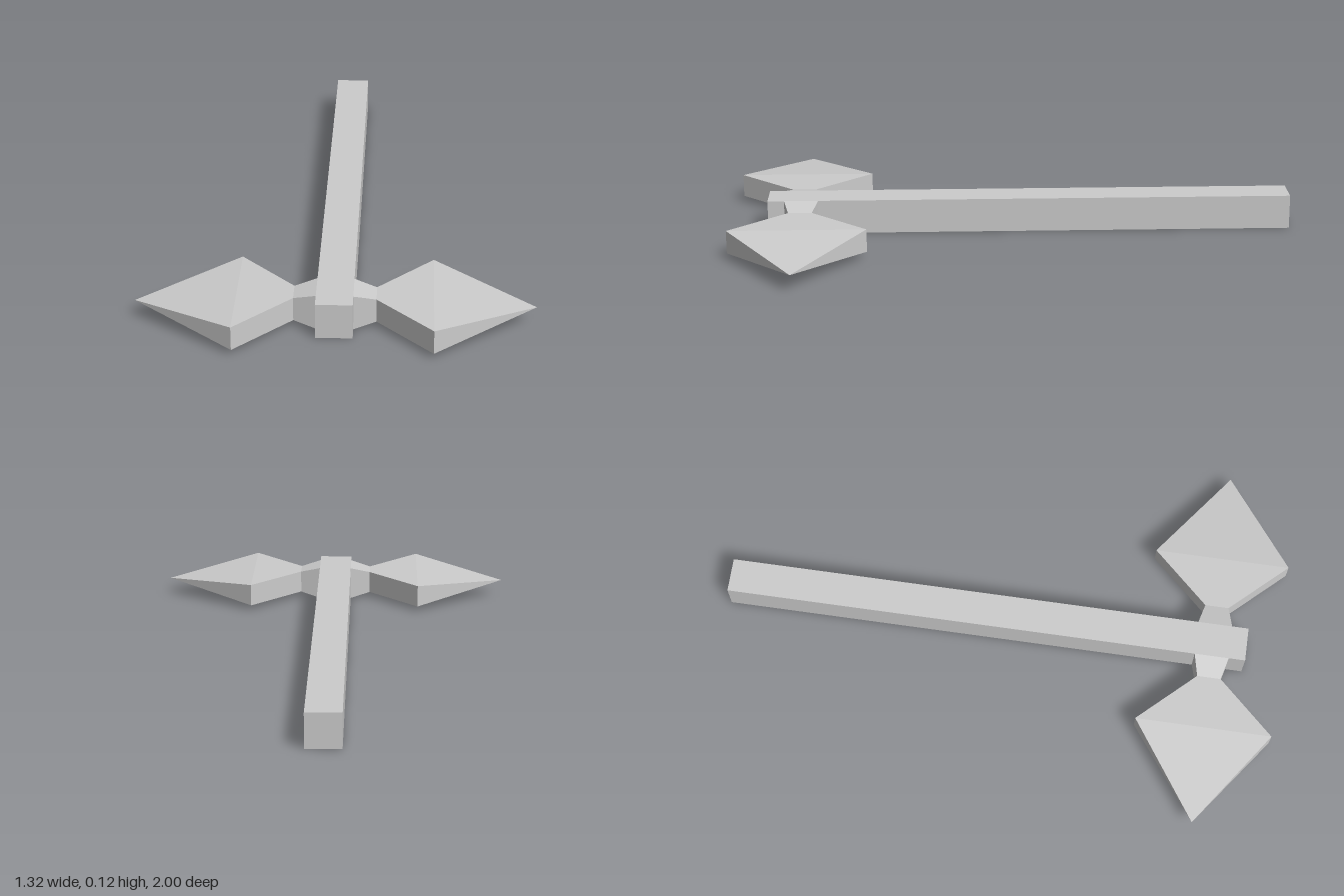
import * as THREE from 'three';

const material = new THREE.MeshStandardMaterial({ color: 0xcccccc, flatShading: true });

// Skin a row of rectangular sections [x, halfHeight, halfDepth]; the last one is a point.
function loftSections(sections) {
  const positions = [];
  const corner = ([x, h, d], k) => {
    const [sy, sz] = [[1, 1], [-1, 1], [-1, -1], [1, -1]][k % 4];
    return [x, sy * h, sz * d];
  };
  for (let i = 0; i < sections.length - 1; i++) {
    const near = sections[i], far = sections[i + 1];
    for (let k = 0; k < 4; k++) {
      const a = corner(near, k), b = corner(near, k + 1);
      const c = corner(far, k + 1), d = corner(far, k);
      positions.push(...a, ...b, ...c);
      if (far[1] > 0) positions.push(...a, ...c, ...d);
    }
  }
  const geometry = new THREE.BufferGeometry();
  geometry.setAttribute('position', new THREE.Float32BufferAttribute(positions, 3));
  geometry.computeVertexNormals();
  return geometry;
}

export function createModel() {
  const model = new THREE.Group();
  model.name = 'doubleAxe';
  const midY = 0.061;

  // Square shaft, running through the head
  const handle = new THREE.Mesh(new THREE.BoxGeometry(0.122, 0.122, 1.878), material);
  handle.name = 'handle';
  handle.position.set(0, midY, -0.061);
  model.add(handle);

  // Blade: socket at the shaft, narrow neck, wide shoulder, pointed tip
  const bladeGeometry = loftSections([
    [0.061, 0.061, 0.061],
    [0.136, 0.041, 0.042],
    [0.323, 0.041, 0.242],
    [0.66, 0, 0],
  ]);
  for (const [name, turn] of [['leftBlade', 0], ['rightBlade', Math.PI]]) {
    const blade = new THREE.Mesh(bladeGeometry, material);
    blade.name = name;
    blade.position.set(0, midY, 0.758);
    blade.rotation.y = turn;
    model.add(blade);
  }

  return model;
}
